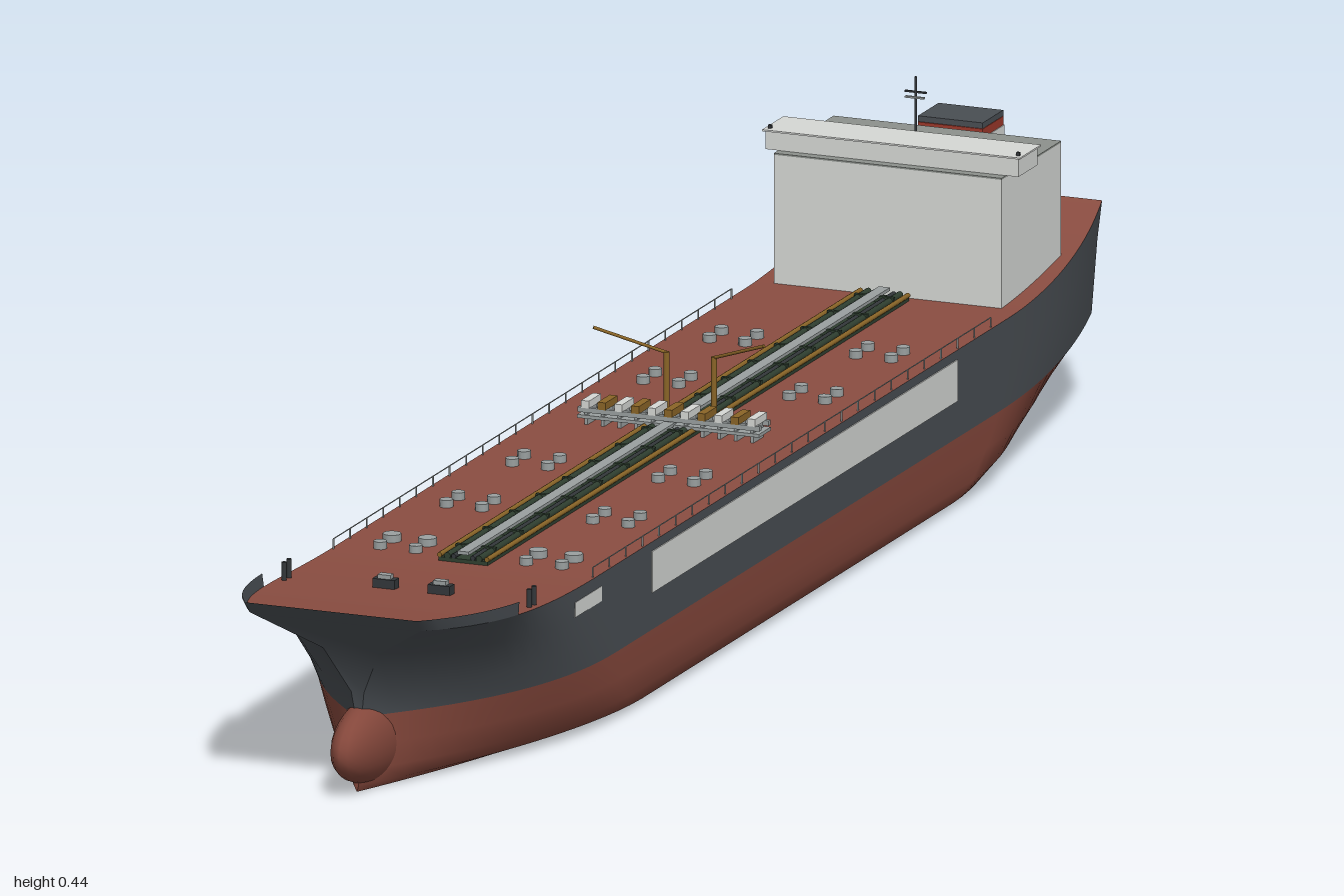
import * as THREE from 'three';

const mat = (name, color, side = THREE.FrontSide) => {
  const m = new THREE.MeshStandardMaterial({ color, side });
  m.name = name;
  return m;
};

export function createModel() {
  const ship = new THREE.Group();
  ship.name = 'tanker';
  const M = {
    red: mat('bottomRed', 0x84473b), dark: mat('hullGrey', 0x494e53, THREE.DoubleSide),
    deck: mat('deckRed', 0x8a4d41), white: mat('white', 0xd6d8d5), roof: mat('roofGrey', 0x8c918c),
    funnel: mat('funnelRed', 0x9c382a), green: mat('pipeGreen', 0x2f3f30), ochre: mat('ochre', 0x8a6527),
    steel: mat('steel', 0x9aa0a0), black: mat('fittingDark', 0x33373a),
  };

  // ---- helpers ----
  const add = (name, geo, m, x = 0, y = 0, z = 0, parent = ship) => {
    const mesh = new THREE.Mesh(geo, m);
    mesh.name = name;
    mesh.position.set(x, y, z);
    parent.add(mesh);
    return mesh;
  };
  const box = (name, m, w, h, d, x, y, z, parent) => add(name, new THREE.BoxGeometry(w, h, d), m, x, y, z, parent);
  const cyl = (name, m, r, h, x, y, z, parent) => add(name, new THREE.CylinderGeometry(r, r, h, 10), m, x, y, z, parent);
  const rod = (name, m, a, b, r) => {
    const A = new THREE.Vector3(...a), B = new THREE.Vector3(...b);
    const mesh = cyl(name, m, r, A.distanceTo(B), 0, 0, 0);
    mesh.position.copy(A).add(B).multiplyScalar(0.5);
    mesh.quaternion.setFromUnitVectors(new THREE.Vector3(0, 1, 0), B.sub(A).normalize());
  };
  const group = (name) => {
    const g = new THREE.Group();
    g.name = name;
    ship.add(g);
    return g;
  };
  // surface through rows of points; it faces (row direction) x (column direction)
  const loft = (name, rows, m) => {
    const n = rows[0].length, idx = [];
    for (let i = 0; i < rows.length - 1; i++) for (let j = 0; j < n - 1; j++) {
      const a = i * n + j, d = a + n;
      idx.push(a, d, d + 1, a, d + 1, a + 1);
    }
    const g = new THREE.BufferGeometry();
    g.setAttribute('position', new THREE.Float32BufferAttribute(rows.flat(2), 3));
    g.setIndex(idx);
    g.computeVertexNormals();
    return add(name, g, m);
  };
  const mirror = (row) => row.map(([x, y, z]) => [-x, y, z]);

  // ---- hull ----
  // level: height, half beam, bow [z, half width, start, power], stern likewise, rise at bow and stern
  const levels = [
    [0, 0.137, [0.92, 0, 0.42, 1.6], [-0.98, 0, -0.47, 1.6], 0, 0],
    [0.008, 0.158, [0.922, 0.003, 0.44, 1.7], [-0.98, 0.01, -0.5, 1.7], 0, 0],
    [0.026, 0.166, [0.922, 0.004, 0.47, 1.9], [-0.98, 0.033, -0.54, 1.8], 0, 0.006],
    [0.055, 0.167, [0.918, 0.004, 0.5, 2.1], [-0.982, 0.075, -0.58, 2], 0, 0.012],
    [0.09, 0.167, [0.915, 0.004, 0.53, 2.3], [-0.985, 0.13, -0.62, 2.3], 0, 0.023],
    [0.12, 0.167, [0.918, 0.008, 0.55, 2.6], [-0.988, 0.132, -0.64, 2.5], 0, 0.032],
    [0.16, 0.167, [0.938, 0.035, 0.58, 3.1], [-0.993, 0.134, -0.65, 2.6], 0.015, 0.041],
    [0.196, 0.167, [0.985, 0.108, 0.6, 4], [-1, 0.137, -0.65, 2.7], 0.026, 0.05],
  ];
  const N = 16;
  const hullRow = ([y, w, bow, stern, riseB, riseA]) => {
    const row = [];
    const end = ([z, h, start, p], rise, t) =>
      row.push([h + (w - h) * (1 - t ** p), y + rise * t ** 1.8, start + (z - start) * t]);
    for (let i = N; i >= 0; i--) end(stern, riseA, i / N);
    for (let i = 0; i <= N; i++) end(bow, riseB, i / N);
    return row;
  };
  const rows = levels.map(hullRow);
  const lower = rows.slice(0, 5), upper = rows.slice(4), deckRow = rows[7];
  for (const [part, set, m] of [['lowerHull', lower, M.red], ['upperHull', upper, M.dark]]) {
    loft(part + 'Left', set, m);
    loft(part + 'Right', set.map(mirror).reverse(), m);
    const last = 2 * N + 1, flip = ([x, y, z]) => [-x, y, z];
    loft(part + 'Transom', set.map((r) => [flip(r[0]), r[0]]), m);
    loft(part + 'Stem', set.map((r) => [r[last], flip(r[last])]), m);
  }
  loft('flatBottom', [mirror(rows[0]), rows[0]], M.red);
  loft('deck', [deckRow, mirror(deckRow)], M.deck);

  // bulbous bow
  add('bulb', new THREE.SphereGeometry(1, 24, 16), M.red, 0, 0.055, 0.86).scale.set(0.034, 0.052, 0.115);

  // bow bulwark
  const rim = deckRow.filter((p) => p[2] > 0.8);
  const wall = [...rim, ...mirror(rim).reverse()];
  loft('bowBulwark', [wall, wall.map(([x, y, z]) => [x * 1.01, y + 0.016, z + 0.015 * (z - 0.8) / 0.185])], M.dark);

  // side panels, deck edge rails and mooring posts
  for (const s of [-1, 1]) {
    box('sidePanel', M.white, 0.004, 0.05, 0.92, s * 0.1665, 0.16, -0.03);
    box('bowPanel', M.white, 0.004, 0.018, 0.08, s * 0.1655, 0.172, 0.62);
    box('rail', M.steel, 0.001, 0.001, 1.2, s * 0.164, 0.208, 0);
    const posts = group('railPosts');
    for (let z = -0.6; z <= 0.61; z += 0.05) box('railPost', M.steel, 0.0015, 0.012, 0.0015, s * 0.164, 0.202, z, posts);
    for (const z of [0.755, 0.77]) cyl('mooringPost', M.black, 0.003, 0.024, s * 0.155, 0.212, z);
    box('windlass', M.black, 0.028, 0.012, 0.014, s * 0.035, 0.206, 0.75);
    box('windlassDrum', M.steel, 0.016, 0.006, 0.01, s * 0.035, 0.214, 0.75);
  }

  // ---- deck piping ----
  const len = 1.27, mid = -0.035;
  box('pipeBed', M.green, 0.062, 0.005, len, 0, 0.198, mid);
  box('catwalk', M.steel, 0.014, 0.004, len, 0, 0.208, mid);
  for (const s of [-1, 1]) {
    for (const [x, r, m] of [[0.012, 0.003, M.black], [0.02, 0.004, M.green], [0.03, 0.003, M.ochre]]) {
      cyl('cargoPipe', m, r, len, s * x, 0.203, mid).rotation.x = Math.PI / 2;
    }
  }
  const supports = group('pipeSupports');
  for (let z = -0.64; z < 0.6; z += 0.08) box('pipeSupport', M.green, 0.05, 0.009, 0.005, 0, 0.203, z, supports);

  // midship manifold
  const manifold = group('manifold');
  for (const z of [-0.05, -0.022]) box('manifoldBeam', M.steel, 0.23, 0.006, 0.006, 0, 0.214, z, manifold);
  box('manifoldTray', M.steel, 0.23, 0.004, 0.036, 0, 0.206, -0.036, manifold);
  for (let i = -5; i <= 5; i++) {
    box('manifoldPipe', i % 2 ? M.white : M.ochre, 0.01, 0.009, 0.036, i * 0.021, 0.221, -0.036, manifold);
    box('manifoldLeg', M.steel, 0.004, 0.02, 0.03, i * 0.021, 0.206, -0.036, manifold);
  }

  // hose cranes
  for (const s of [-1, 1]) {
    cyl('cranePost', M.ochre, 0.0035, 0.08, s * 0.03, 0.236, -0.085);
    rod('craneBoom', M.ochre, [s * 0.03, 0.275, -0.085], [s * 0.108, 0.306, -0.05], 0.002);
  }

  // tank hatches
  const hatches = group('tankHatches');
  for (const z of [-0.435, -0.235, 0.16, 0.358, 0.558]) for (const dz of [-0.018, 0.018])
    for (const x of [-0.115, -0.07, 0.07, 0.115]) {
      const r = z > 0.5 && dz < 0 ? 0.011 : 0.008;
      cyl('tankHatch', M.steel, r, 0.01, x, 0.2, z + dz, hatches);
    }

  // ---- superstructure ----
  box('deckhouse', M.white, 0.288, 0.156, 0.18, 0, 0.274, -0.77);
  box('deckhouseRoof', M.roof, 0.288, 0.002, 0.18, 0, 0.353, -0.77);
  box('bridge', M.white, 0.32, 0.022, 0.058, 0, 0.365, -0.722);
  box('bridgeRoof', M.white, 0.326, 0.002, 0.064, 0, 0.377, -0.722);
  for (const s of [-1, 1]) box('wingLight', M.black, 0.004, 0.004, 0.004, s * 0.157, 0.38, -0.7);

  // mast
  cyl('mast', M.black, 0.0015, 0.087, 0, 0.397, -0.765);
  box('mastYard', M.black, 0.027, 0.002, 0.003, 0, 0.422, -0.765);
  box('radarBar', M.steel, 0.024, 0.002, 0.004, 0, 0.416, -0.762);

  // funnel
  box('funnel', M.funnel, 0.082, 0.14, 0.062, 0, 0.285, -0.9);
  box('funnelBand', M.white, 0.084, 0.025, 0.064, 0, 0.332, -0.9);
  box('funnelCap', M.dark, 0.082, 0.007, 0.062, 0, 0.359, -0.9);
  return ship;
}
